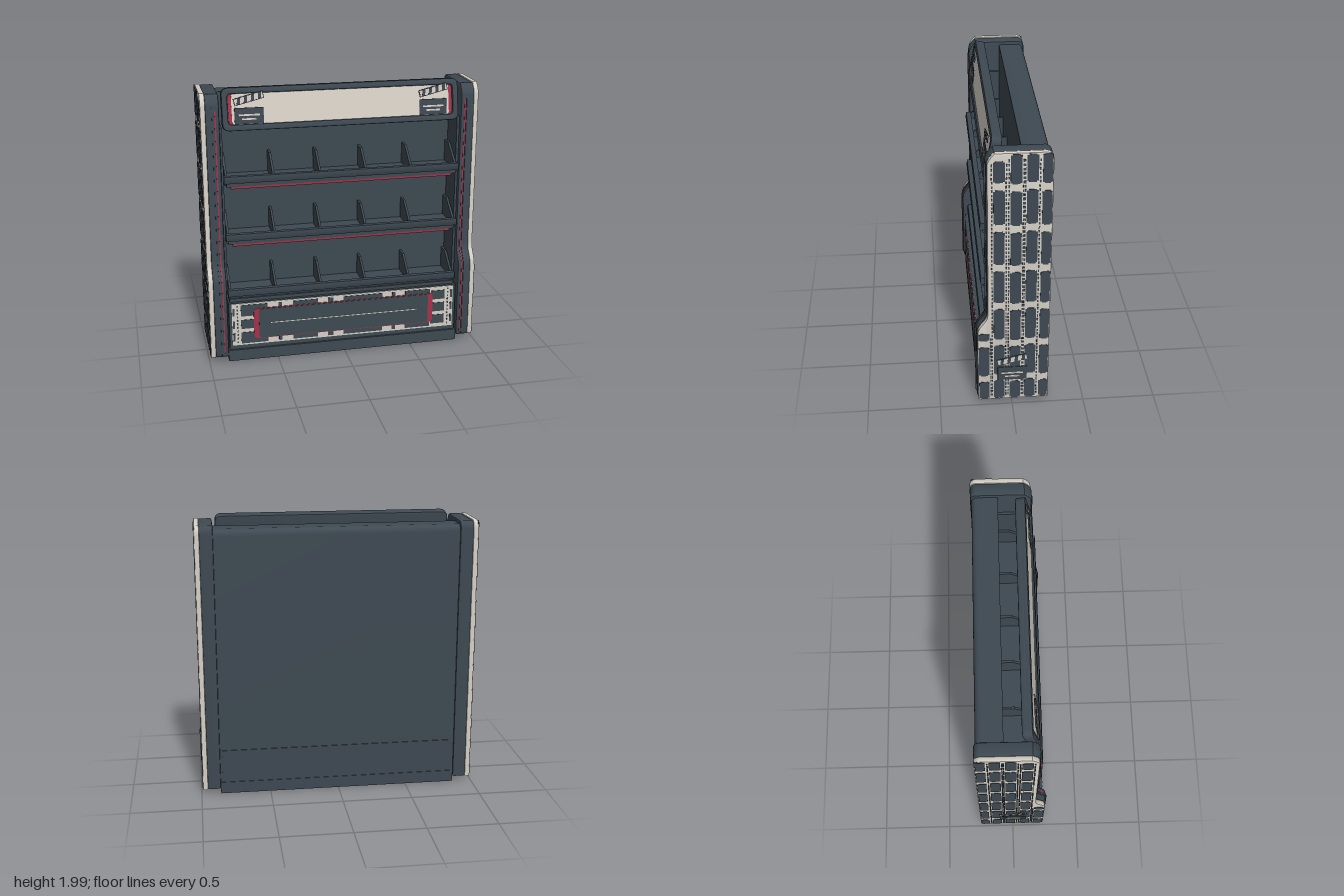
import * as THREE from 'three';
import { mergeGeometries, toCreasedNormals } from 'three/addons/utils/BufferGeometryUtils.js';

const mat = (name, color) => {
  const m = new THREE.MeshStandardMaterial({ color });
  m.name = name;
  return m;
};

export function createModel() {
  const slate = mat('slate', 0x3e4952), cream = mat('cream', 0xd6d0c6), red = mat('red', 0xa53247);
  const root = new THREE.Group();
  root.name = 'storeShelf';

  const add = (parent, name, geo, m) => {
    const mesh = new THREE.Mesh(geo, m);
    mesh.name = name;
    parent.add(mesh);
    return mesh;
  };
  // Box given by its lower and upper limits
  const span = (x0, x1, y0, y1, z0, z1) =>
    new THREE.BoxGeometry(x1 - x0, y1 - y0, z1 - z0).translate((x0 + x1) / 2, (y0 + y1) / 2, (z0 + z1) / 2);
  const bevelled = (shape, depth, b) => {
    const g = new THREE.ExtrudeGeometry(shape, {
      depth: depth - 2 * b, bevelEnabled: b > 0, bevelSize: b, bevelThickness: b,
      bevelOffset: -b, bevelSegments: 2, curveSegments: 6 });
    return toCreasedNormals(g.translate(0, 0, b), 0.6);
  };
  // Profile in (z, y) swept along x from x0 to x1
  const sweepX = (shape, x0, x1, b = 0) => bevelled(shape, x1 - x0, b).rotateY(-Math.PI / 2).translate(x1, 0, 0);
  const roundRect = (w, h, r, C = THREE.Shape) => {
    const s = new C(), x = w / 2, y = h / 2;
    s.moveTo(-x + r, -y).lineTo(x - r, -y).quadraticCurveTo(x, -y, x, -y + r)
      .lineTo(x, y - r).quadraticCurveTo(x, y, x - r, y).lineTo(-x + r, y)
      .quadraticCurveTo(-x, y, -x, y - r).lineTo(-x, -y + r).quadraticCurveTo(-x, -y, -x + r, -y);
    return s;
  };
  const poly = pts => new THREE.Shape(pts.map(p => new THREE.Vector2(p[0], p[1])));

  // Outline of the end panels: wide foot, narrower top
  const endProfile = (d, back, y0, y1) => {
    const s = new THREE.Shape();
    s.moveTo(back, y0).lineTo(0.215 + d, y0).quadraticCurveTo(0.235 + d, y0, 0.235 + d, y0 + 0.02)
      .lineTo(0.235 + d, 0.6).bezierCurveTo(0.235 + d, 0.68, 0.165 + d, 0.68, 0.165 + d, 0.77)
      .lineTo(0.165 + d, y1 - 0.08).quadraticCurveTo(0.16 + d, y1 - 0.04, 0.115 + d, y1)
      .lineTo(back + 0.04, y1).quadraticCurveTo(back, y1 - 0.01, back, y1 - 0.06);
    s.closePath();
    return s;
  };

  // Clapperboard facing +z, centred on its board
  const clapper = (name) => {
    const g = new THREE.Group();
    g.name = name;
    add(g, 'board', span(-0.1, 0.1, -0.055, 0.055, 0, 0.006), slate);
    add(g, 'boardLines', mergeGeometries([
      span(-0.075, 0.075, 0, 0.012, 0.005, 0.009), span(-0.05, 0.05, -0.028, -0.016, 0.005, 0.009)]), cream);
    const stick = new THREE.Group();
    stick.name = 'clapStick';
    stick.position.set(0, 0.118, 0);
    stick.rotation.z = 0.24;
    add(stick, 'stickEdge', span(-0.105, 0.105, -0.025, 0.025, 0, 0.005), slate);
    add(stick, 'stickFace', span(-0.1, 0.1, -0.02, 0.02, 0.004, 0.007), cream);
    for (let i = 0; i < 4; i++) {
      const x = -0.09 + i * 0.05;
      add(stick, 'stickStripe', bevelled(poly([[x, -0.02], [x + 0.022, -0.02], [x + 0.036, 0.02], [x + 0.014, 0.02]]), 0.009, 0), slate);
    }
    g.add(stick);
    return g;
  };

  // End panels with film-strip pattern
  for (const s of [1, -1]) {
    const end = new THREE.Group();
    end.name = s > 0 ? 'leftEnd' : 'rightEnd';
    root.add(end);
    const xs = (a, b) => (s > 0 ? [a, b] : [-b, -a]);
    const box = (a, b, ...r) => span(...xs(a, b), ...r);
    add(end, 'endBody', sweepX(endProfile(0.006, -0.25, 0.04, 1.955), ...xs(0.86, 0.957), 0.012), slate);
    add(end, 'endRim', sweepX(endProfile(0, -0.25, 0.035, 1.96), ...xs(0.953, 0.99), 0.008), cream);
    add(end, 'redPiping', sweepX(endProfile(0.009, 0, 0.07, 1.91), ...xs(0.885, 0.894)), red);
    add(end, 'trimRib', sweepX(endProfile(0.014, 0, 0.05, 1.92), ...xs(0.898, 0.912)), slate);
    add(end, 'innerWall', box(0.843, 0.862, 0.1, 1.72, -0.1, 0.14), slate);

    const frames = [], holes = [];
    [0.192, 0.09, -0.018, -0.12, -0.212].forEach((z, c) => {
      const top = c === 0 ? 0.6 : c === 1 ? 1.9 : 1.945;
      const w = c === 4 ? 0.031 : 0.036;
      for (let r = 0; r < 7; r++) {
        const shift = (c % 2) * 0.012 - 0.006;
        const y0 = Math.max(0.055, -0.04 + r * 0.3 + shift), y1 = Math.min(top, 0.192 + r * 0.3 + shift);
        if (y1 - y0 < 0.04) continue;
        frames.push(box(0.985, 0.993, y0, y1, z - w, z + w));
        // narrow notches at the frame ends
        frames.push(box(0.985, 0.993, y0 - 0.008, y1 + 0.008, z - w + 0.012, z + w - 0.012));
      }
      for (const d of [-0.046, 0.046]) {
        if (Math.abs(z + d) > 0.235 || (c === 0 && d > 0)) continue;
        for (let y = 0.07; y < top - 0.02; y += 0.03)
          holes.push(box(0.985, 0.9925, y, y + 0.017, z + d - 0.0045, z + d + 0.0045));
      }
    });
    add(end, 'filmFrames', mergeGeometries(frames), slate);
    add(end, 'filmPerforations', mergeGeometries(holes), slate);

    const badge = clapper('endClapper');
    badge.position.set(s * 0.991, 0.265, 0);
    badge.rotation.y = s * Math.PI / 2;
    end.add(badge);
  }

  // Base, back cabinet and lower cabinet
  add(root, 'base', span(-0.86, 0.86, 0, 0.085, -0.245, 0.23), slate);
  add(root, 'baseStep', span(-0.85, 0.85, 0.08, 0.12, -0.235, 0.215), slate);
  const backShape = new THREE.Shape();
  backShape.moveTo(-0.24, 0.08).lineTo(-0.06, 0.08).lineTo(-0.06, 1.93).lineTo(-0.2, 1.93)
    .quadraticCurveTo(-0.24, 1.925, -0.24, 1.88).closePath();
  add(root, 'backCabinet', sweepX(backShape, -0.862, 0.862), slate);
  add(root, 'backLowerPanel', span(-0.845, 0.845, 0.09, 0.33, -0.246, -0.23), slate);
  add(root, 'lowerCabinet', span(-0.85, 0.85, 0.1, 0.45, -0.07, 0.222), slate);
  add(root, 'lowerCabinetTop', span(-0.84, 0.84, 0.445, 0.475, -0.07, 0.2), slate);

  // Three shelves with dividers and front lips
  [0.49, 0.912, 1.335].forEach((y, i) => {
    const shelf = new THREE.Group();
    shelf.name = 'shelf';
    shelf.position.y = y;
    root.add(shelf);
    add(shelf, 'shelfBoard', span(-0.845, 0.845, -0.02, 0.005, -0.07, 0.17), slate);
    add(shelf, 'shelfLip', sweepX(poly([[0.16, 0], [0.2, 0], [0.205, 0.01], [0.2, 0.05], [0.165, 0.05]]), -0.847, 0.847), slate);
    add(shelf, 'lipUnderside', span(-0.83, 0.83, -0.028, 0.002, 0.13, 0.185), slate);
    if (i > 0) add(shelf, 'redLipStrip', span(-0.8, 0.8, -0.045, -0.027, 0.15, 0.178), red);
    const divider = poly([[-0.065, 0], [0.17, 0], [0.17, 0.045], [0.02, 0.16], [-0.065, 0.16]]);
    for (let k = 0; k < 6; k++) {
      const x = -0.83 + k * 0.332;
      add(shelf, 'divider', sweepX(divider, x - 0.008, x + 0.008), slate);
    }
  });

  // Tilted header sign
  const header = new THREE.Group();
  header.name = 'header';
  header.position.set(0, 1.84, 0.112);
  header.rotation.x = -0.2;
  root.add(header);
  add(header, 'headerBack', bevelled(roundRect(1.68, 0.295, 0.05), 0.05, 0.01).translate(0, 0, -0.03), slate);
  const rim = roundRect(1.68, 0.295, 0.05);
  rim.holes.push(roundRect(1.6, 0.21, 0.03, THREE.Path));
  add(header, 'headerRim', bevelled(rim, 0.04, 0.008), slate);
  add(header, 'headerRedEnds', bevelled(roundRect(1.59, 0.208, 0.03), 0.006, 0).translate(0, 0, 0.019), red);
  add(header, 'headerSign', bevelled(roundRect(1.545, 0.208, 0.02), 0.006, 0).translate(0, 0, 0.022), cream);
  for (const s of [-1, 1]) {
    const c = clapper('headerClapper');
    c.position.set(s * 0.655, -0.047, 0.032);
    c.rotation.x = 0.1;
    header.add(c);
  }

  // Lower front panel: cream film pattern around a dark centre plate
  const panel = new THREE.Group();
  panel.name = 'lowerFrontPanel';
  panel.position.set(0, 0.282, 0.22);
  root.add(panel);
  add(panel, 'panelCream', span(-0.83, 0.83, -0.162, 0.162, 0, 0.006), cream);
  const dark = [], dots = [];
  for (const s of [-1, 1]) {
    // top and bottom film frames
    for (const [a, b] of [[-0.765, -0.57], [-0.49, -0.465], [-0.385, -0.2], [-0.125, -0.085], [-0.01, 0.285], [0.36, 0.385], [0.46, 0.65]])
      dark.push(span(a, b, s > 0 ? 0.1 : -0.15, s > 0 ? 0.15 : -0.1, 0.004, 0.009));
    // side film frames
    for (let k = -1; k <= 1; k++) {
      const a = s * 0.765, b = s * 0.66, y = k * 0.098;
      dark.push(span(Math.min(a, b), Math.max(a, b), y - 0.035, y + 0.035, 0.004, 0.009));
      const c = s * 0.825, d = s * 0.81;
      dark.push(span(Math.min(c, d), Math.max(c, d), y - 0.03, y + 0.03, 0.004, 0.008));
    }
    for (let y = -0.145; y < 0.15; y += 0.028) dots.push(span(s * 0.79 - 0.005, s * 0.79 + 0.005, y, y + 0.014, 0.004, 0.008));
  }
  add(panel, 'panelFrames', mergeGeometries(dark), slate);
  add(panel, 'panelPerforations', mergeGeometries(dots), slate);
  add(panel, 'redPlate', bevelled(roundRect(1.345, 0.235, 0.035), 0.006, 0).translate(0, 0, 0.006), red);
  add(panel, 'centrePlate', bevelled(roundRect(1.27, 0.225, 0.02), 0.008, 0).translate(0, 0, 0.008), slate);
  add(panel, 'centreLine', span(-0.55, 0.55, -0.003, 0.003, 0.014, 0.018), cream);

  return root;
}
